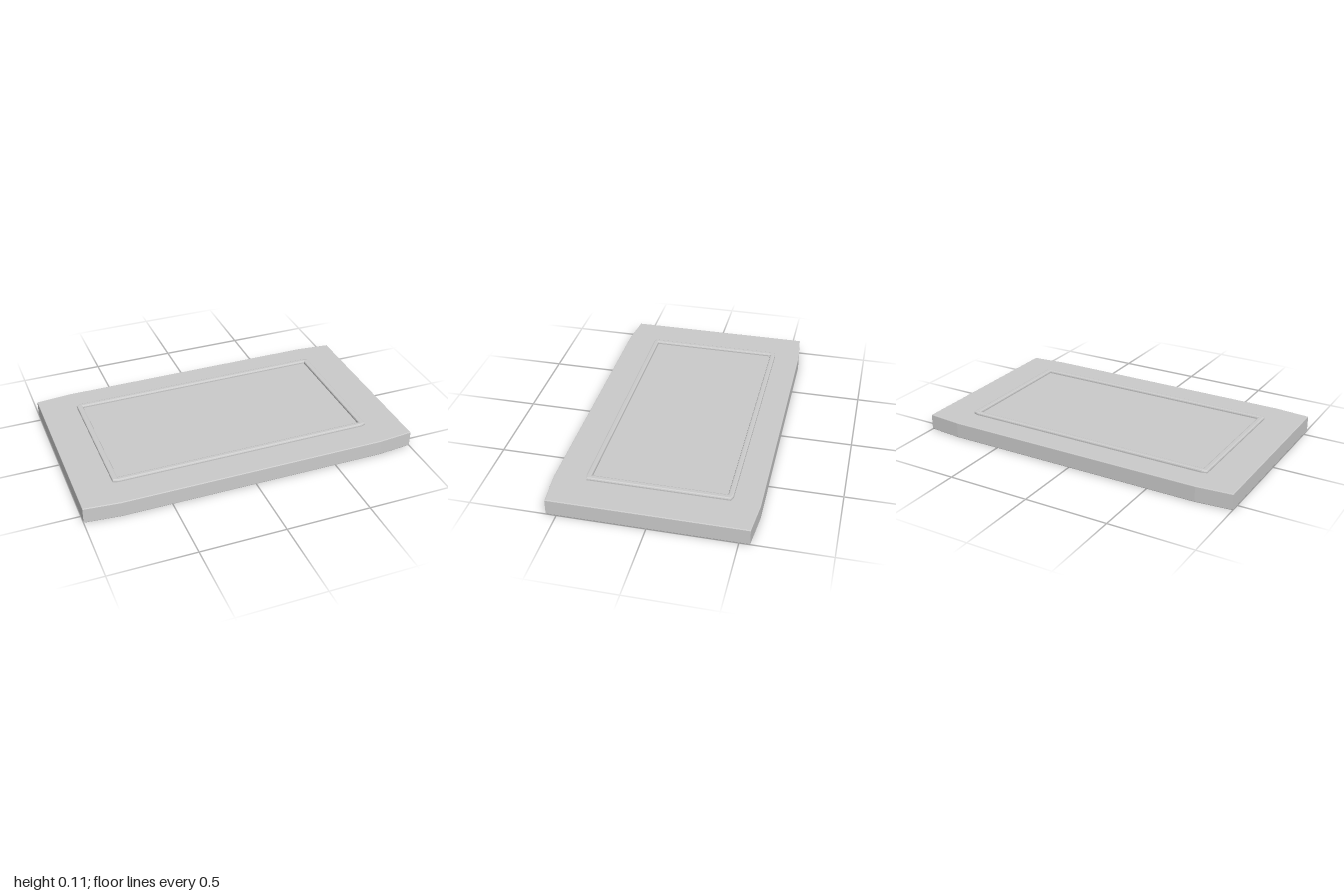
import * as THREE from 'three';

const material = new THREE.MeshStandardMaterial({ color: 0xcccccc });

const outline = (points) => points.map(([x, y]) => new THREE.Vector2(x, y));

// Rectangle with cut corners, centred on the origin
const cutRect = (w, h, cx, cy) => outline([
  [-w, -h + cy], [-w + cx, -h], [w - cx, -h], [w, -h + cy],
  [w, h - cy], [w - cx, h], [-w + cx, h], [-w, h - cy],
]);

// Extrudes a plan outline upwards from y0 to y1 with small bevelled edges
function plate(name, shape, y0, y1, bevel) {
  const geometry = new THREE.ExtrudeGeometry(shape, {
    depth: y1 - y0 - 2 * bevel,
    bevelThickness: bevel,
    bevelSize: bevel,
    bevelOffset: -bevel,
    bevelSegments: 2,
  });
  geometry.rotateX(-Math.PI / 2);
  geometry.translate(0, y0 + bevel, 0);
  const mesh = new THREE.Mesh(geometry, material);
  mesh.name = name;
  return mesh;
}

export function createModel() {
  const model = new THREE.Group();
  model.name = 'panelledSlab';

  // Main slab, its long edges tapering slightly near the ends
  const slab = new THREE.Shape(cutRect(1, 0.58, 0.21, 0.02));
  model.add(plate('slab', slab, 0, 0.095, 0.004));

  // Thin raised border around the flat central panel
  const border = new THREE.Shape(cutRect(0.785, 0.414, 0.03, 0.01));
  border.holes.push(new THREE.Path(outline([
    [-0.75, -0.382], [-0.75, 0.382], [0.75, 0.382], [0.75, -0.382],
  ])));
  const rim = plate('raisedBorder', border, 0.08, 0.111, 0.008);
  rim.position.z = -0.012;
  model.add(rim);

  return model;
}
